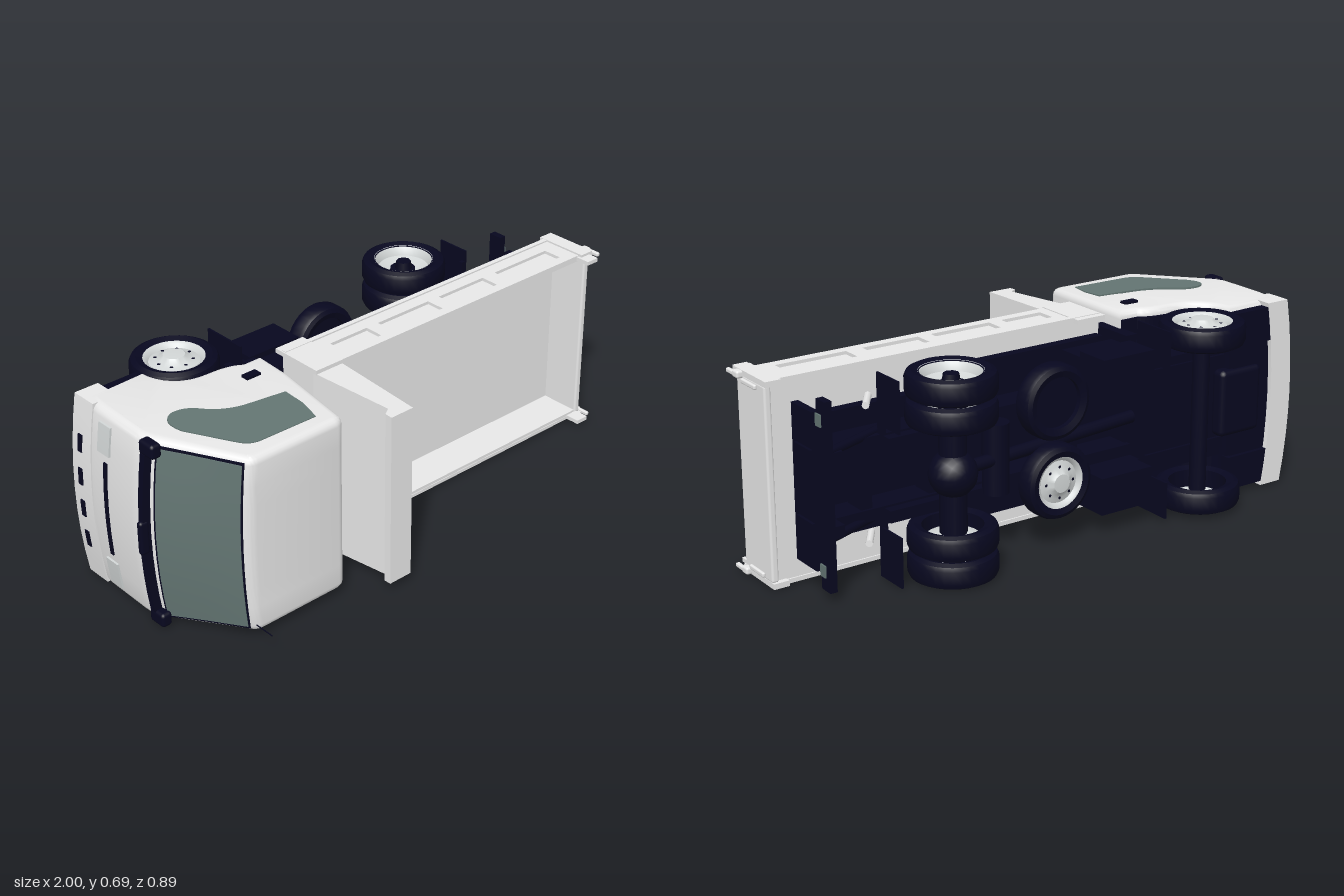
import * as THREE from 'three';
import { toCreasedNormals } from 'three/addons/utils/BufferGeometryUtils.js';
import { RoundedBoxGeometry } from 'three/addons/geometries/RoundedBoxGeometry.js';

const paint = (name, color, side = THREE.FrontSide) => {
  const m = new THREE.MeshStandardMaterial({ color, side });
  m.name = name;
  return m;
};

export function createModel() {
  const white = paint('white paint', 0xf0f0f0);
  const dark = paint('dark chassis', 0x07071f);
  const glass = paint('tinted glass', 0x637572);
  const steel = paint('wheel steel', 0xd2d6d6, THREE.DoubleSide);

  const model = new THREE.Group();
  model.name = 'tippedTruck';
  // The truck is built upright (y up, nose to -x), then laid on its side
  const truck = new THREE.Group();
  truck.name = 'truck';
  truck.rotation.x = Math.PI / 2;
  truck.position.y = 0.347;
  model.add(truck);

  const add = (name, geo, mat, parent = truck) => {
    const m = new THREE.Mesh(geo, mat);
    m.name = name;
    parent.add(m);
    return m;
  };
  // Box from its minimum and maximum on each axis
  const box = (name, mat, x0, x1, y0, y1, z0, z1, r = 0) => {
    const s = [x1 - x0, y1 - y0, z1 - z0];
    const g = r ? new RoundedBoxGeometry(...s, 2, r) : new THREE.BoxGeometry(...s, 1, 1, 8);
    g.translate((x0 + x1) / 2, (y0 + y1) / 2, (z0 + z1) / 2);
    return add(name, g, mat);
  };
  // The same box on both sides of the truck
  const pair = (name, mat, x0, x1, y0, y1, z0, z1, r) => {
    box(name + 'Left', mat, x0, x1, y0, y1, z0, z1, r);
    box(name + 'Right', mat, x0, x1, y0, y1, -z1, -z0, r);
  };
  const rod = (name, mat, a, b, r, sides = 12) => {
    const from = new THREE.Vector3(...a), d = new THREE.Vector3(...b).sub(from);
    const m = add(name, new THREE.CylinderGeometry(r, r, d.length(), sides), mat);
    m.position.copy(from).addScaledVector(d, 0.5);
    m.quaternion.setFromUnitVectors(new THREE.Vector3(0, 1, 0), d.normalize());
  };
  const outline = pts => new THREE.Shape(pts.map(p => new THREE.Vector2(...p)));
  const slab = (shape, depth, z = 0) =>
    new THREE.ExtrudeGeometry(shape, { depth, bevelEnabled: false, curveSegments: 8 }).translate(0, 0, z);

  // Cab narrows gently toward the roof
  const taper = geo => {
    const p = geo.attributes.position;
    for (let i = 0; i < p.count; i++)
      p.setZ(i, p.getZ(i) * (1 - 0.06 * Math.max(0, p.getY(i)) / 0.35));
    geo.computeVertexNormals();
    return geo;
  };
  // Nose is bowed: its corners sit further back than its middle
  const bow = geo => {
    const p = geo.attributes.position;
    for (let i = 0; i < p.count; i++) {
      const w = THREE.MathUtils.clamp((-0.6 - p.getX(i)) / 0.3, 0, 1);
      p.setX(i, p.getX(i) + 0.03 * w * (p.getZ(i) / 0.33) ** 2);
    }
    geo.computeVertexNormals();
    return geo;
  };
  const noseBox = (...args) => bow(box(...args).geometry);

  // Cab shell with its wheel arch
  const cab = new THREE.Shape();
  cab.moveTo(-0.96, -0.26);
  cab.lineTo(-0.72, -0.27);
  cab.quadraticCurveTo(-0.71, -0.13, -0.56, -0.13);
  cab.quadraticCurveTo(-0.48, -0.13, -0.44, -0.1);
  cab.lineTo(-0.365, -0.1);
  cab.lineTo(-0.37, 0.05);
  cab.lineTo(-0.4, 0.32);
  cab.quadraticCurveTo(-0.405, 0.35, -0.44, 0.352);
  cab.lineTo(-0.76, 0.352);
  cab.quadraticCurveTo(-0.79, 0.35, -0.8, 0.33);
  cab.lineTo(-0.955, 0.09);
  cab.quadraticCurveTo(-0.978, 0.05, -0.978, 0.01);
  cab.lineTo(-0.975, -0.18);
  cab.closePath();
  const shell = new THREE.ExtrudeGeometry(cab, {
    depth: 0.624, steps: 8, bevelThickness: 0.025, bevelSize: 0.025, bevelOffset: -0.025, bevelSegments: 4, curveSegments: 8,
  }).translate(0, 0, -0.312);
  add('cabShell', toCreasedNormals(bow(taper(shell)), 0.6), white);

  // Dark liner inside the wheel arches
  const liner = new THREE.Shape();
  liner.moveTo(-0.725, -0.28);
  liner.lineTo(-0.705, -0.28);
  liner.quadraticCurveTo(-0.695, -0.145, -0.56, -0.142);
  liner.quadraticCurveTo(-0.47, -0.142, -0.43, -0.112);
  liner.lineTo(-0.37, -0.112);
  liner.lineTo(-0.37, -0.09);
  liner.lineTo(-0.44, -0.09);
  liner.lineTo(-0.56, -0.12);
  liner.lineTo(-0.68, -0.16);
  add('wheelArchLiner', slab(liner, 0.62, -0.31), dark);

  // Side windows and door handles
  const sideWindow = new THREE.Shape();
  sideWindow.moveTo(-0.8, 0.003);
  sideWindow.quadraticCurveTo(-0.86, 0.02, -0.835, 0.1);
  sideWindow.lineTo(-0.74, 0.255);
  sideWindow.quadraticCurveTo(-0.72, 0.285, -0.685, 0.287);
  sideWindow.lineTo(-0.47, 0.292);
  sideWindow.lineTo(-0.452, 0.21);
  sideWindow.lineTo(-0.452, 0.128);
  sideWindow.lineTo(-0.594, 0.108);
  sideWindow.quadraticCurveTo(-0.67, 0.095, -0.717, 0.04);
  sideWindow.quadraticCurveTo(-0.75, 0, -0.8, 0.003);
  for (const s of [-1, 1])
    add(s > 0 ? 'sideWindowLeft' : 'sideWindowRight', taper(slab(sideWindow, 0.007, s * 0.3355 - 0.0035)), glass);
  pair('doorHandle', dark, -0.5, -0.445, -0.03, 0, 0.334, 0.342);

  // Windscreen on the sloping front
  const screen = (name, mat, lift, len, width) => {
    const g = new THREE.BoxGeometry(0.006, len, width, 1, 4, 8).rotateZ(-0.573);
    add(name, bow(taper(g.translate(-0.8765 - lift * 0.84, 0.212 + lift * 0.54, 0))), mat);
  };
  screen('windscreenSeal', dark, 0.001, 0.284, 0.64);
  screen('windscreen', glass, 0.004, 0.272, 0.625);

  // Nose: bumper, lamps, grille slots, mirrors
  noseBox('frontBumper', white, -0.975, -0.885, -0.302, -0.205, -0.335, 0.335);
  for (let i = 0; i < 4; i++) {
    const z = -0.18 + i * 0.12;
    noseBox('bumperSlot', dark, -0.979, -0.972, -0.27, -0.25, z - 0.03, z + 0.03);
  }
  for (const s of [-1, 1]) noseBox('headlamp', steel, -0.983, -0.973, -0.16, -0.1, s * 0.25 - 0.05, s * 0.25 + 0.05);
  noseBox('grilleSlot', dark, -0.981, -0.973, -0.13, -0.115, -0.17, 0.17);
  noseBox('cowl', dark, -0.988, -0.955, 0.06, 0.082, -0.29, 0.29);
  box('wiperMount', dark, -1, -0.965, 0.062, 0.085, -0.06, 0.06, 0.01);
  pair('mirror', dark, -0.965, -0.925, 0.05, 0.12, 0.285, 0.335, 0.012);
  rod('aerial', dark, [-0.77, 0.34, 0.29], [-0.77, 0.42, 0.29], 0.002, 6);
  pair('frontStep', dark, -0.88, -0.7, -0.3, -0.265, 0.2, 0.32);
  box('engine', dark, -0.88, -0.34, -0.25, -0.09, -0.2, 0.2);
  box('sump', dark, -0.84, -0.66, -0.3, -0.24, -0.12, 0.12, 0.02);
  box('cabFloor', dark, -0.93, -0.72, -0.285, -0.25, -0.3, 0.3);
  box('airIntake', dark, -0.375, -0.33, -0.18, 0, -0.28, 0.28);

  // Wheels
  const lathe = pts =>
    toCreasedNormals(new THREE.LatheGeometry(pts.map(p => new THREE.Vector2(...p)), 32).rotateX(Math.PI / 2), 0.6);
  const tyreGeo = lathe([[0.1, -0.036], [0.125, -0.044], [0.141, -0.036], [0.147, -0.022],
    [0.147, 0.022], [0.141, 0.036], [0.125, 0.044], [0.1, 0.036], [0.1, -0.036]]);
  const frontRim = lathe([[0.102, 0.037], [0.092, 0.032], [0.084, 0.02], [0.065, 0.026],
    [0.048, 0.032], [0.036, 0.045], [0, 0.047]]);
  const rearRim = lathe([[0.104, 0.038], [0.096, 0.03], [0.088, 0.005], [0.05, -0.01], [0, -0.01]]);
  const hubGeo = new THREE.CylinderGeometry(0.026, 0.032, 0.04, 8).rotateX(Math.PI / 2).translate(0, 0, 0.008);
  const wheel = (name, x, y, z, face, rim) => {
    const g = new THREE.Group();
    g.name = name;
    add('tyre', tyreGeo, dark, g);
    add('rim', rim, steel, g);
    if (rim === rearRim) add('hub', hubGeo, dark, g);
    else for (let i = 0; i < 8; i++) {
      const a = i * Math.PI / 4;
      add('rimHole', new THREE.CircleGeometry(0.006, 8)
        .translate(Math.cos(a) * 0.062, Math.sin(a) * 0.062, 0.03), dark, g);
    }
    g.position.set(x, y, z);
    if (face < 0) g.rotation.y = Math.PI;
    truck.add(g);
    return g;
  };
  for (const s of [-1, 1]) {
    wheel('frontWheel', -0.563, -0.296, s * 0.287, s, frontRim);
    wheel('rearOuterWheel', 0.45, -0.296, s * 0.3, s, rearRim);
    wheel('rearInnerWheel', 0.45, -0.296, s * 0.208, s, rearRim);
  }
  // Spare wheels lying flat under the frame
  const spare = wheel('spareWheel', 0.05, -0.295, 0.115, 1, frontRim);
  const spareTwo = add('secondSpareTyre', tyreGeo, dark);
  spareTwo.position.set(0.06, -0.295, -0.16);
  for (const tyre of [spare, spareTwo]) {
    tyre.rotation.x = Math.PI / 2;
    tyre.scale.set(0.87, 0.87, 0.9);
  }
  rod('secondSpareDisc', dark, [0.06, -0.31, -0.16], [0.06, -0.28, -0.16], 0.09, 24);

  // Frame, axles and driveline
  pair('frameRail', dark, -0.9, 0.9, -0.2, -0.1, 0.1, 0.14);
  for (const x of [-0.1, 0.2, 0.45, 0.7]) box('crossMember', dark, x - 0.02, x + 0.02, -0.19, -0.11, -0.14, 0.14);
  box('rearCrossMember', dark, 0.865, 0.89, -0.2, -0.075, -0.26, 0.26);
  box('subframe', dark, -0.29, 0.28, -0.1, -0.065, -0.27, 0.27);
  box('rearSubframe', dark, 0.28, 0.86, -0.1, -0.065, -0.21, 0.21);
  rod('frontAxle', dark, [-0.56, -0.3, -0.28], [-0.56, -0.3, 0.28], 0.03);
  rod('rearAxle', dark, [0.45, -0.3, -0.3], [0.45, -0.3, 0.3], 0.045);
  const diff = add('differential', new THREE.SphereGeometry(0.08, 16, 12), dark);
  diff.position.set(0.45, -0.3, 0);
  rod('driveShaft', dark, [-0.35, -0.2, 0], [0.42, -0.29, 0], 0.022);
  rod('airTank', dark, [0.26, -0.26, -0.12], [0.26, -0.26, 0.12], 0.045, 16);
  pair('leafSpring', dark, 0.25, 0.65, -0.25, -0.215, 0.1, 0.14);
  pair('frontSpring', dark, -0.75, -0.36, -0.26, -0.22, 0.13, 0.17);
  pair('fuelTank', dark, -0.33, -0.12, -0.33, -0.2, 0.14, 0.27);
  pair('batteryBox', dark, -0.4, -0.12, -0.25, -0.1, 0.14, 0.25);
  pair('frontMudFlap', dark, -0.375, -0.368, -0.36, -0.19, 0.2, 0.33);
  pair('rearMudFlap', dark, 0.645, 0.652, -0.31, -0.185, 0.17, 0.34);
  pair('flapBracket', dark, 0.63, 0.652, -0.2, -0.185, 0.1, 0.3);
  for (const s of [-1, 1]) {
    rod('bedStrut', white, [0.29, -0.08, s * 0.23], [0.39, -0.165, s * 0.23], 0.014, 8);
    rod('bedStrut', white, [0.68, -0.165, s * 0.23], [0.62, -0.08, s * 0.23], 0.012, 8);
    rod('bumperArm', dark, [0.62, -0.15, s * 0.14], [0.87, -0.25, s * 0.14], 0.015, 8);
  }
  box('rearBumper', dark, 0.86, 0.885, -0.272, -0.22, -0.31, 0.31);
  pair('bumperBracket', dark, 0.82, 0.87, -0.26, -0.08, 0.1, 0.14);
  pair('tailLamp', glass, 0.884, 0.89, -0.25, -0.22, 0.225, 0.265);

  // Dump bed: floor, ribbed sides with recessed panels, tailgate
  box('bedFloor', white, -0.29, 0.965, -0.065, -0.045, -0.325, 0.325);
  box('bedFront', white, -0.3, -0.19, -0.065, 0.1, -0.32, 0.32);
  box('tailgate', white, 0.955, 0.98, -0.075, 0.103, -0.325, 0.325, 0.008);
  const wall = outline([[-0.3, -0.065], [0.95, -0.065], [0.95, 0.1], [-0.3, 0.1]]);
  for (const [a, b] of [[-0.15, 0.01], [0.06, 0.29], [0.34, 0.55], [0.61, 0.865]])
    wall.holes.push(new THREE.Path([[a, -0.005], [b, -0.005], [b, 0.065], [a, 0.065]].map(p => new THREE.Vector2(...p))));
  for (const s of [-1, 1]) add('sideFrame', slab(wall, 0.012, s * 0.329 - 0.006), white);
  pair('sidePanel', white, -0.29, 0.955, -0.06, 0.098, 0.312, 0.324);
  pair('sideRail', white, -0.3, 0.95, -0.07, -0.052, 0.325, 0.34);
  pair('frontPost', white, -0.305, -0.19, -0.095, 0.105, 0.322, 0.338);
  pair('rearPost', white, 0.925, 0.98, -0.085, 0.115, 0.322, 0.341);
  pair('tailgateHook', white, 0.95, 1, 0.06, 0.095, 0.315, 0.34, 0.008);
  pair('tailgateHinge', white, 0.915, 0.965, 0.1, 0.155, 0.318, 0.332);
  pair('hookTip', white, 0.985, 1, 0.08, 0.135, 0.32, 0.335, 0.005);
  pair('tailgateHandle', white, 0.978, 0.99, -0.03, 0.06, 0.302, 0.318, 0.005);

  // Tall headboard with a small lip over the cab side
  const board = outline([[-0.305, 0.09], [-0.195, 0.09], [-0.205, 0.443], [-0.295, 0.443], [-0.295, 0.415], [-0.268, 0.398]]);
  const boardGeo = slab(board, 0.65, -0.325);
  const bp = boardGeo.attributes.position;
  for (let i = 0; i < bp.count; i++) bp.setZ(i, bp.getZ(i) * (1 - 0.04 * (bp.getY(i) - 0.09) / 0.35));
  boardGeo.computeVertexNormals();
  add('headboard', boardGeo, white);

  return model;
}
